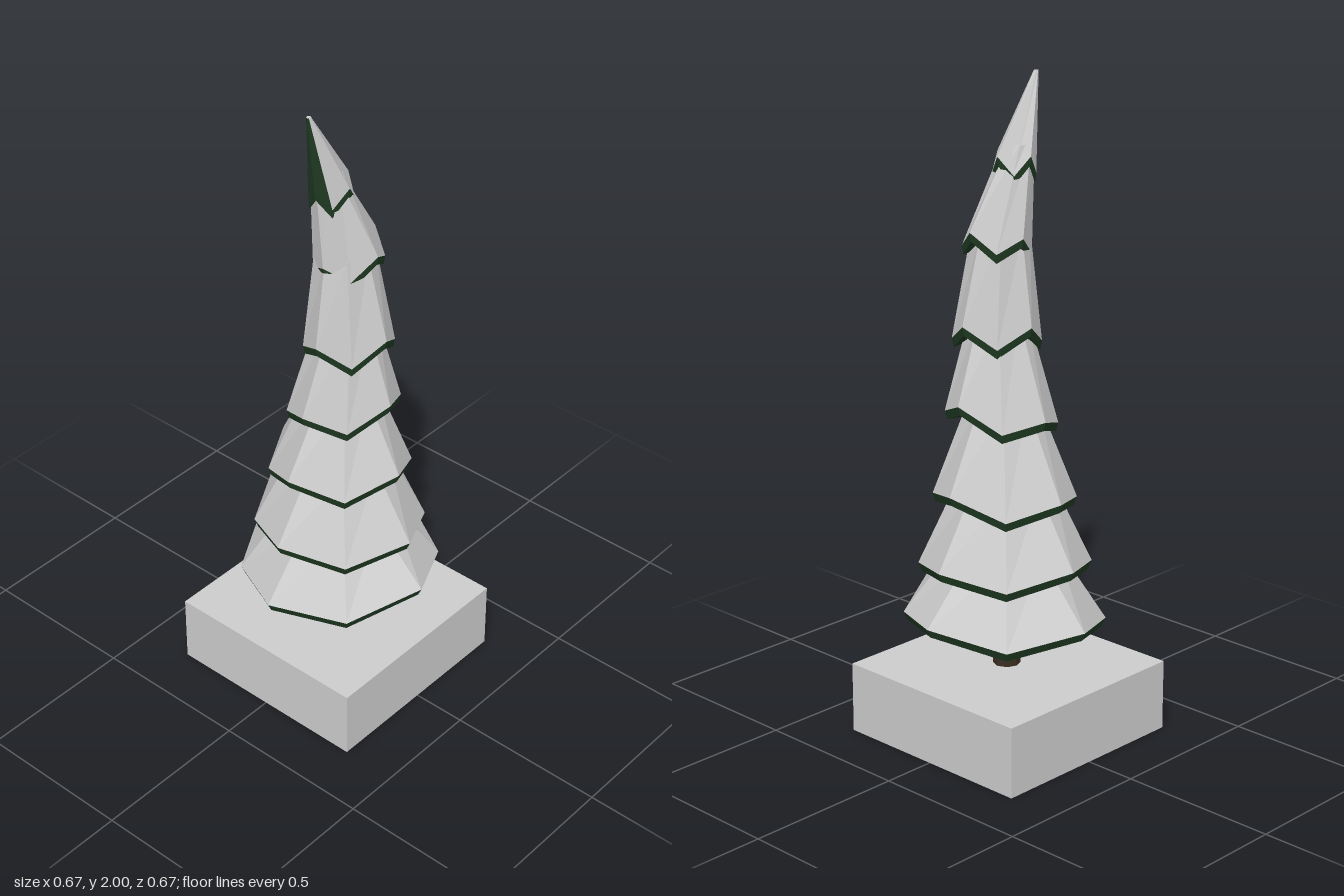
import * as THREE from 'three';

const flat = (color) => new THREE.MeshStandardMaterial({ color, flatShading: true });
const V = (x, y, z) => new THREE.Vector3(x, y, z);
const SIDES = 8;

// Each tier: rim corners as [offset, height] on four axes, sag of the diagonal
// corners, and the top ring as [x, y, z, radius]
const tiers = [
  { left: [-0.315, 0.405], right: [0.335, 0.43], front: [0.325, 0.395], back: [-0.327, 0.42], sag: 0.04, top: [0.01, 0.6, 0, 0.15] },
  { left: [-0.265, 0.58], right: [0.288, 0.585], front: [0.28, 0.59], back: [-0.277, 0.58], sag: 0.04, top: [0.015, 0.8, 0.005, 0.14] },
  { left: [-0.21, 0.775], right: [0.246, 0.82], front: [0.238, 0.815], back: [-0.223, 0.8], sag: 0.05, top: [0.03, 1.05, 0.012, 0.1] },
  { left: [-0.14, 1.01], right: [0.215, 1.06], front: [0.195, 1.03], back: [-0.167, 1.06], sag: 0.05, top: [0.055, 1.3, 0.02, 0.085] },
  { left: [-0.075, 1.28], right: [0.205, 1.285], front: [0.166, 1.27], back: [-0.12, 1.285], sag: 0.06, top: [0.06, 1.55, 0.035, 0.085] },
  { left: [-0.045, 1.54], right: [0.167, 1.55], front: [0.13, 1.52], back: [-0.092, 1.56], sag: 0.05, top: [0.035, 1.8, 0.085, 0.045] },
  { left: [-0.026, 1.77], right: [0.107, 1.77], front: [0.14, 1.765], back: [0, 1.77], sag: 0.055, top: [0.035, 2, 0.155, 0.007] },
];

function meshFrom(points, material, name) {
  const geometry = new THREE.BufferGeometry().setFromPoints(points);
  geometry.computeVertexNormals();
  const mesh = new THREE.Mesh(geometry, material);
  mesh.name = name;
  return mesh;
}

function makeTier({ left, right, front, back, sag, top }, snowMaterial, needleMaterial) {
  const cx = (left[0] + right[0]) / 2, cz = (front[0] + back[0]) / 2;
  const hx = (right[0] - left[0]) / 2, hz = (front[0] - back[0]) / 2;
  const heights = [right[1], front[1], left[1], back[1]];
  const rim = [], hem = [], crown = [];
  for (let i = 0; i < SIDES; i++) {
    const a = (i * Math.PI * 2) / SIDES, c = Math.cos(a), s = Math.sin(a);
    const diagonal = i % 2, k = (i - diagonal) / 2;
    const reach = diagonal ? 0.935 : 1;
    const y = diagonal ? (heights[k] + heights[(k + 1) % 4]) / 2 - sag : heights[k];
    rim.push(V(cx + hx * c * reach, y, cz + hz * s * reach));
    hem.push(V(cx + hx * c * reach * 0.96, y - 0.027, cz + hz * s * reach * 0.96));
    crown.push(V(top[0] + top[3] * c, top[1], top[2] + top[3] * s));
  }
  const snow = [], needles = [];
  const quad = (list, a, b, c, d) => list.push(a, b, d, b, c, d);
  const under = V(cx, hem.reduce((sum, p) => sum + p.y, 0) / SIDES + 0.02, cz);
  const tip = V(top[0], top[1], top[2]);
  for (let i = 0; i < SIDES; i++) {
    const j = (i + 1) % SIDES;
    // Snow lies only on faces that do not overhang
    const normal = new THREE.Triangle(rim[i], crown[i], rim[j]).getNormal(V(0, 0, 0));
    quad(normal.y < -0.045 ? needles : snow, rim[i], crown[i], crown[j], rim[j]);
    snow.push(crown[i], tip, crown[j]);
    quad(needles, hem[i], rim[i], rim[j], hem[j]);
    needles.push(hem[i], hem[j], under);
  }
  const group = new THREE.Group();
  group.add(meshFrom(snow, snowMaterial, 'snow'), meshFrom(needles, needleMaterial, 'needles'));
  return group;
}

export function createModel() {
  const model = new THREE.Group();
  model.name = 'snowyTree';
  const grey = flat(0xcccccc), green = flat(0x1f3a22), brown = flat(0x3a2e20);

  // Square block the tree stands on
  const base = new THREE.Mesh(new THREE.BoxGeometry(0.667, 0.22, 0.667), grey);
  base.name = 'base';
  base.position.set(-0.003, 0.11, 0);
  model.add(base);

  // Trunk
  const trunk = new THREE.Mesh(new THREE.CylinderGeometry(0.036, 0.042, 0.26, 8), brown);
  trunk.name = 'trunk';
  trunk.position.set(0.003, 0.34, 0);
  model.add(trunk);

  // Leaning stack of snow-covered branch tiers
  tiers.forEach((tier, i) => {
    const group = makeTier(tier, grey, green);
    group.name = `branchTier${i + 1}`;
    model.add(group);
  });
  return model;
}
